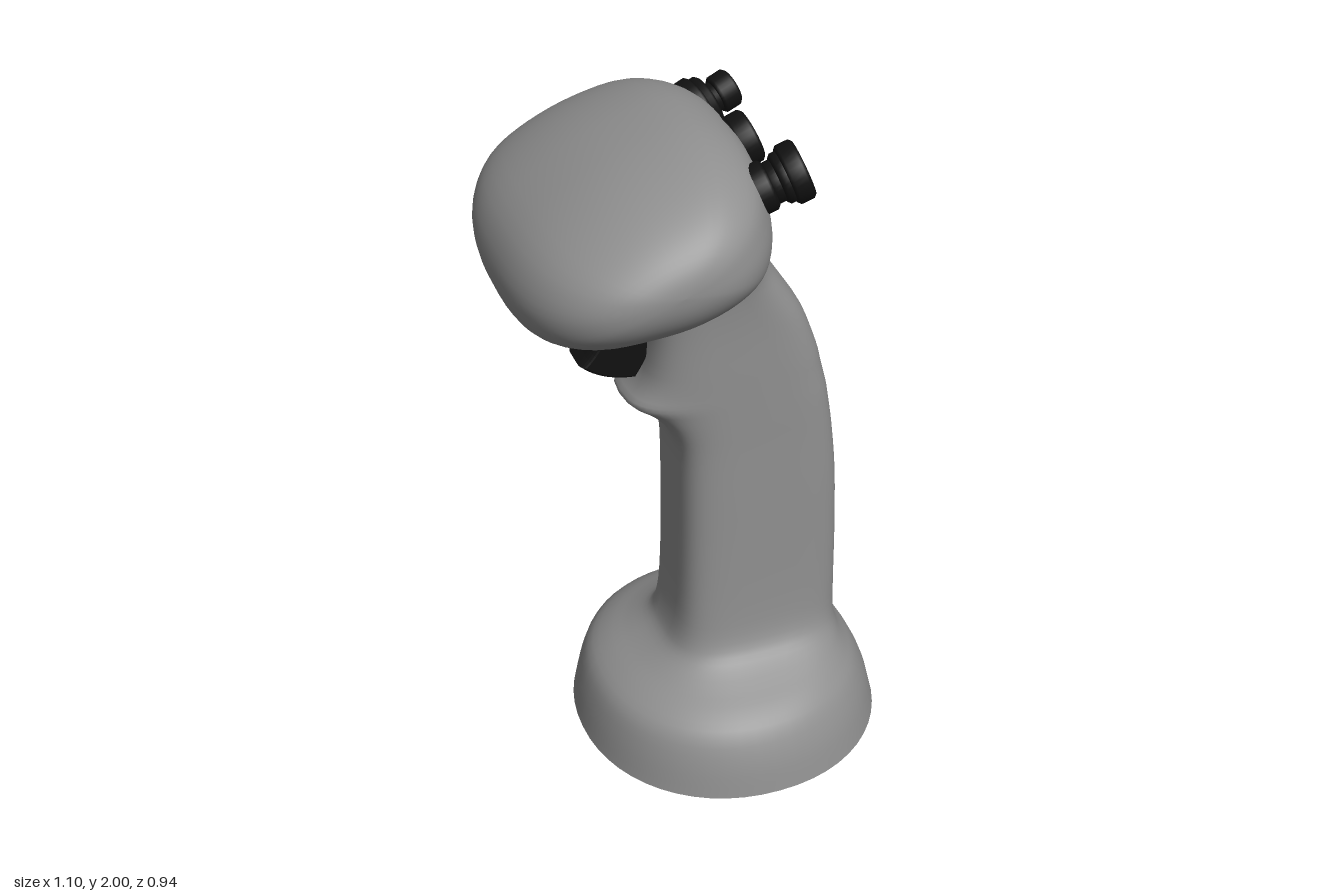
import * as THREE from 'three';

const grey = new THREE.MeshStandardMaterial({ color: 0x8f8f8f, side: THREE.DoubleSide });
const black = new THREE.MeshStandardMaterial({ color: 0x111111 });

// Skin a list of equally long closed rings, with smooth shared vertices
function loft(rings) {
  const n = rings[0].length, index = [];
  for (let r = 0; r < rings.length - 1; r++) {
    for (let i = 0; i < n; i++) {
      const a = r * n + i, b = r * n + (i + 1) % n;
      index.push(a, b, b + n, a, b + n, a + n);
    }
  }
  const geo = new THREE.BufferGeometry().setFromPoints(rings.flat());
  geo.setIndex(index);
  geo.computeVertexNormals();
  return geo;
}

const power = (v, e) => Math.sign(v) * Math.abs(v) ** e;

// Hollow base flaring into the grip: [y, xMin, xMax, half depth, squareness, finger ridge]
function gripGeometry() {
  const sections = [
    [0, -0.355, 0.545, 0.46, 2.1, 0],
    [0.1, -0.335, 0.52, 0.44, 2.1, 0],
    [0.18, -0.305, 0.485, 0.405, 2.15, 0],
    [0.225, -0.25, 0.455, 0.355, 2.2, 0],
    [0.26, -0.18, 0.435, 0.29, 2.4, 0],
    [0.3, -0.12, 0.422, 0.225, 2.8, 0],
    [0.35, -0.092, 0.413, 0.19, 3.4, 0],
    [0.45, -0.076, 0.408, 0.177, 3.9, 0],
    [0.65, -0.07, 0.405, 0.172, 4, 0],
    [0.85, -0.07, 0.397, 0.17, 4, 0],
    [1, -0.075, 0.382, 0.168, 4, 0],
    [1.08, -0.08, 0.37, 0.168, 4, 0.025],
    [1.14, -0.09, 0.36, 0.168, 4, 0.07],
    [1.18, -0.1, 0.35, 0.168, 4, 0.115],
    [1.22, -0.11, 0.34, 0.168, 4, 0.08],
    [1.28, -0.125, 0.325, 0.168, 4, 0.04],
    [1.4, -0.145, 0.28, 0.168, 4, 0.01],
    [1.5, -0.17, 0.22, 0.174, 3.8, 0],
    [1.56, -0.19, 0.182, 0.188, 3.5, 0],
    [1.62, -0.2, 0.153, 0.225, 3.1, 0],
    [1.68, -0.2, 0.144, 0.29, 2.7, 0],
    [1.74, -0.2, 0.142, 0.34, 2.4, 0],
    [1.81, -0.2, 0.12, 0.34, 2.3, 0],
  ];
  const curve = (k) => new THREE.CatmullRomCurve3(
    sections.map((s) => new THREE.Vector3(s[k], s[k + 1], s[k + 2])), false, 'catmullrom');
  const outline = curve(0), shape = curve(3);
  const steps = (sections.length - 1) * 3, sides = 56, rings = [];
  for (let k = 0; k <= steps; k++) {
    const { x: y, y: x0, z: x1 } = outline.getPoint(k / steps);
    const { x: depth, y: square, z: ridge } = shape.getPoint(k / steps);
    const ring = [];
    for (let i = 0; i < sides; i++) {
      const a = (i / sides) * Math.PI * 2;
      const u = power(Math.cos(a), 2 / square), w = power(Math.sin(a), 2 / square);
      const bump = ridge * Math.max(0, -u) ** 2 * (1 - 0.35 * w * w);
      ring.push(new THREE.Vector3((x0 + x1) / 2 + u * (x1 - x0) / 2 - bump, y, -w * depth));
    }
    rings.push(ring);
  }
  return loft(rings);
}

// Pillow head: one side profile shrinking towards both ends in z, faster in height than in length
function headGeometry() {
  const profile = new THREE.CatmullRomCurve3([
    [0.14, 1.75], [0.125, 1.85], [0.08, 1.95], [-0.03, 2.0], [-0.2, 1.967],
    [-0.38, 1.88], [-0.51, 1.77], [-0.552, 1.65], [-0.52, 1.545], [-0.43, 1.495],
    [-0.26, 1.49], [-0.1, 1.515], [0.04, 1.58], [0.12, 1.66],
  ].map(([x, y]) => new THREE.Vector3(x, y, 0)), true).getPoints(56).slice(0, -1);
  const cx = -0.2, cy = 1.75, rings = [], steps = 40, e = 2.6;
  for (let k = 0; k <= steps; k++) {
    const a = (k / steps - 0.5) * Math.PI;
    const t = power(Math.sin(a), 2 / e);
    const sx = Math.max(1e-6, Math.cos(a)) ** (2 / e);
    const sy = Math.max(1e-6, 1 - Math.abs(t) ** 2.1) ** (1 / 2.1);
    rings.push(profile.map((p) => new THREE.Vector3(cx + (p.x - cx) * sx, cy + (p.y - cy) * sy, 0.472 * t)));
  }
  return loft(rings);
}

// Curved trigger blade with rounded flanks
function triggerGeometry() {
  const s = new THREE.Shape();
  s.moveTo(-0.13, 1.5);
  s.lineTo(-0.25, 1.5);
  s.quadraticCurveTo(-0.25, 1.39, -0.322, 1.322);
  s.quadraticCurveTo(-0.27, 1.275, -0.19, 1.268);
  s.quadraticCurveTo(-0.15, 1.33, -0.13, 1.4);
  const geo = new THREE.ExtrudeGeometry(s, {
    depth: 0.06, bevelEnabled: true, bevelSize: 0.012, bevelThickness: 0.03, bevelSegments: 4, curveSegments: 10,
  });
  return geo.translate(0, 0, -0.03);
}

// Turned button made of stacked discs: [radius, start, end] along its axis
function makeButton(name, discs, position, sideways) {
  const group = new THREE.Group();
  group.name = name;
  for (const [r, from, to] of discs) {
    const c = 0.008;
    const points = [[0, from], [r - c, from], [r, from + c], [r, to - c], [r - c, to], [0, to]];
    const geo = new THREE.LatheGeometry(points.map(([x, y]) => new THREE.Vector2(x, y)), 32);
    const disc = new THREE.Mesh(geo, black);
    disc.name = name + 'Disc';
    group.add(disc);
  }
  group.position.set(...position);
  const axis = new THREE.Vector3(0.92, 0.36, sideways).normalize();
  group.quaternion.setFromUnitVectors(new THREE.Vector3(0, 1, 0), axis);
  return group;
}

export function createModel() {
  const model = new THREE.Group();
  model.name = 'joystick';
  const add = (name, geometry, material) => {
    const mesh = new THREE.Mesh(geometry, material);
    mesh.name = name;
    model.add(mesh);
  };
  add('baseAndGrip', gripGeometry(), grey);
  add('head', headGeometry(), grey);
  add('trigger', triggerGeometry(), black);

  // Three thumb controls on the upper edge of the head
  model.add(
    makeButton('wideButton', [[0.067, -0.05, 0.02], [0.056, 0.015, 0.055], [0.068, 0.04, 0.07], [0.08, 0.062, 0.112]],
      [0.093, 1.874, 0.237], 0.1),
    makeButton('middleButton', [[0.086, -0.05, 0.016], [0.073, 0.012, 0.066]], [0.098, 1.872, 0.006], 0),
    makeButton('thumbStick', [[0.086, -0.05, 0.018], [0.075, 0.012, 0.042], [0.042, 0.035, 0.07], [0.053, 0.06, 0.115]],
      [0.093, 1.872, -0.22], -0.12),
  );
  return model;
}
